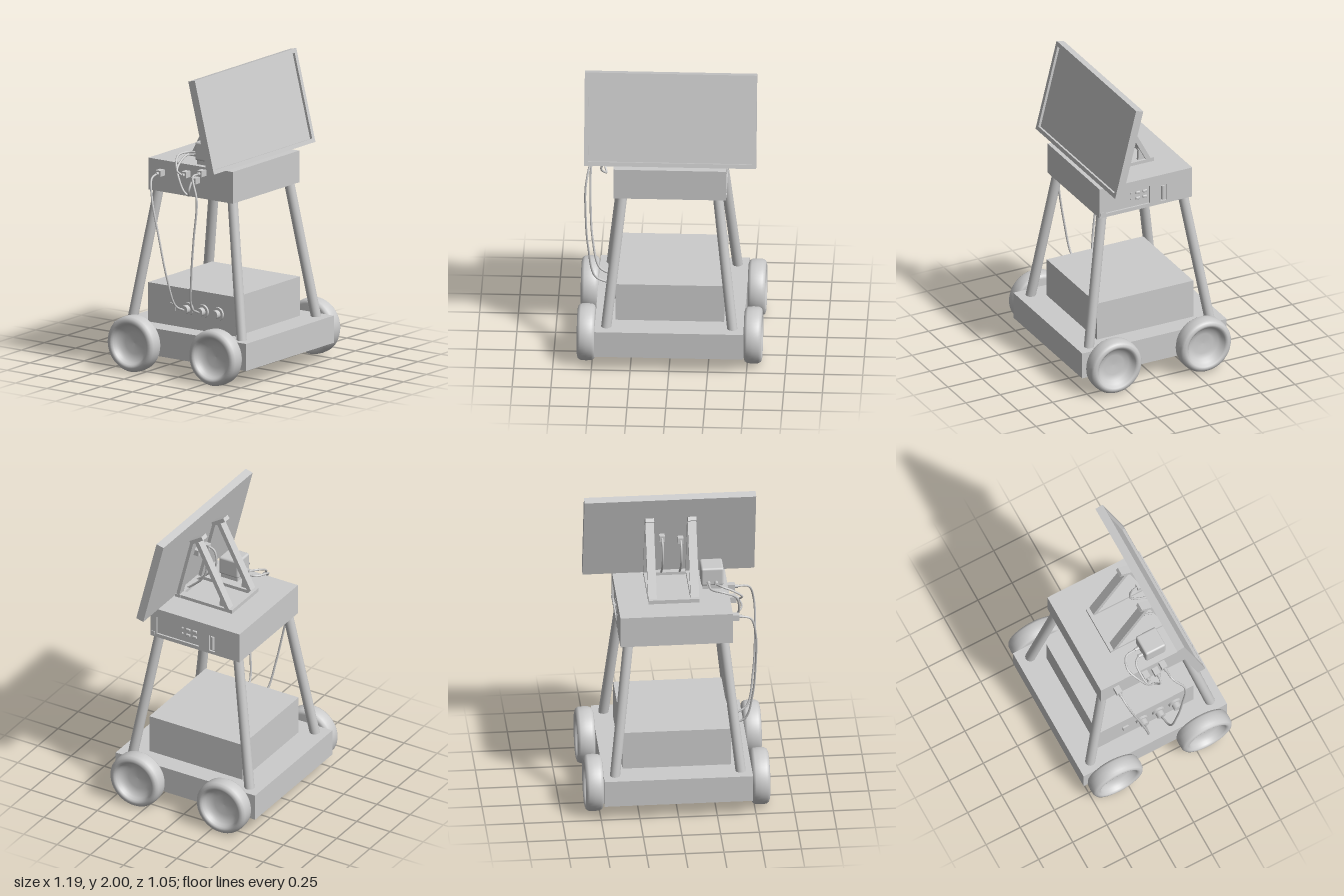
import * as THREE from 'three';
import { RoundedBoxGeometry } from 'three/addons/geometries/RoundedBoxGeometry.js';

const mat = new THREE.MeshStandardMaterial({ color: 0xcccccc });
const V = (x, y, z) => new THREE.Vector3(x, y, z);

function add(parent, name, geo, x = 0, y = 0, z = 0) {
  const m = new THREE.Mesh(geo, mat);
  m.name = name;
  m.position.set(x, y, z);
  parent.add(m);
  return m;
}

// box from its minimum and maximum corners
function box(parent, name, a, b) {
  const s = b.map((v, i) => v - a[i]), c = b.map((v, i) => (v + a[i]) / 2);
  return add(parent, name, new THREE.BoxGeometry(...s), ...c);
}

// round bar between two points
function rod(parent, name, a, b, r, sides = 24) {
  const d = b.clone().sub(a);
  const m = add(parent, name, new THREE.CylinderGeometry(r, r, d.length(), sides),
    ...a.clone().add(b).multiplyScalar(0.5).toArray());
  m.quaternion.setFromUnitVectors(V(0, 1, 0), d.normalize());
  return m;
}

// flat bar leaning in the y-z plane, ends given as [z, y]
function beam(parent, name, x, a, b, width, thick) {
  const dz = b[0] - a[0], dy = b[1] - a[1];
  const m = add(parent, name, new THREE.BoxGeometry(width, Math.hypot(dz, dy), thick),
    x, (a[1] + b[1]) / 2, (a[0] + b[0]) / 2);
  m.rotation.x = Math.atan2(dz, dy);
  return m;
}

function cable(parent, name, pts, r = 0.007) {
  const curve = new THREE.CatmullRomCurve3(pts.map(p => V(...p)));
  return add(parent, name, new THREE.TubeGeometry(curve, 48, r, 8));
}

function rectPath(path, x0, y0, x1, y1) {
  path.moveTo(x0, y0);
  path.lineTo(x1, y0);
  path.lineTo(x1, y1);
  path.lineTo(x0, y1);
  path.closePath();
  return path;
}

// flat plate with rectangular openings, extruded along +z
function plate(outer, holes, depth) {
  const s = rectPath(new THREE.Shape(), ...outer);
  holes.forEach(h => s.holes.push(rectPath(new THREE.Path(), ...h)));
  return new THREE.ExtrudeGeometry(s, { depth, bevelEnabled: false });
}

function buildBase(g) {
  box(g, 'chassis', [-0.48, 0.11, -0.525], [0.48, 0.29, 0.525]);
  box(g, 'batteryBox', [-0.35, 0.29, -0.35], [0.35, 0.55, 0.35]);

  // wheels with a rounded tread and a dished outer face
  const profile = [[0, 0], [0.155, 0], [0.172, 0.006], [0.182, 0.022], [0.185, 0.058], [0.182, 0.094],
    [0.172, 0.11], [0.155, 0.116], [0.143, 0.113], [0.134, 0.104], [0.125, 0.085], [0.105, 0.066],
    [0.07, 0.055], [0, 0.052]].map(p => new THREE.Vector2(...p));
  const wheel = new THREE.LatheGeometry(profile, 48);
  for (const sx of [-1, 1]) for (const sz of [-1, 1]) {
    add(g, 'wheel', wheel, sx * 0.48, 0.185, sz * 0.325).rotation.z = -sx * Math.PI / 2;
    rod(g, 'leg', V(sx * 0.408, 0.27, sz * 0.44), V(sx * 0.308, 1.18, sz * 0.293), 0.033);
  }

  // sockets on the side of the battery box
  for (const z of [-0.03, 0.09, 0.21]) {
    rod(g, 'socketFlange', V(-0.35, 0.42, z), V(-0.365, 0.42, z), 0.045);
    rod(g, 'socketPlug', V(-0.36, 0.42, z), V(-0.40, 0.42, z), 0.028);
  }
  box(g, 'batterySwitch', [-0.36, 0.39, -0.17], [-0.35, 0.44, -0.13]);
}

function buildComputer(g) {
  box(g, 'computerCase', [-0.365, 1.182, -0.336], [0.35, 1.38, 0.336]);

  // bottom cover with a shallow opening
  add(g, 'bottomCover', plate([-0.365, -0.336, 0.362, 0.336], [[-0.13, -0.12, 0.13, 0.12]], 0.012),
    0, 1.182, 0).rotation.x = Math.PI / 2;

  // side cover: control panel recess and handle slot (plate x runs toward -z)
  add(g, 'sideCover', plate([-0.336, 1.182, 0.336, 1.38],
    [[-0.29, 1.195, 0.03, 1.32], [0.105, 1.19, 0.15, 1.305]], 0.012), 0.35, 0, 0).rotation.y = Math.PI / 2;
  rod(g, 'slotLatch', V(0.352, 1.20, -0.128), V(0.352, 1.295, -0.128), 0.012, 12);
  for (const y of [1.25, 1.29]) {
    rod(g, 'indicator', V(0.345, y, 0.1), V(0.36, y, 0.1), 0.008, 12);
    for (const z of [0.055, 0.005])
      add(g, 'button', new RoundedBoxGeometry(0.014, 0.018, 0.032, 2, 0.005), 0.355, y, z);
  }
  box(g, 'cornerTab', [0.36, 1.185, 0.3], [0.366, 1.208, 0.33]);

  // connectors on the other side
  for (const [y, z] of [[1.30, -0.225], [1.32, -0.02], [1.29, 0.055], [1.345, 0.105]]) {
    box(g, 'connector', [-0.415, y - 0.02, z - 0.02], [-0.365, y + 0.02, z + 0.02]);
    rod(g, 'connectorSleeve', V(-0.41, y, z), V(-0.435, y, z), 0.011, 12);
  }

  // power adapter with two plugs
  box(g, 'adapterFoot', [-0.325, 1.38, 0.02], [-0.2, 1.41, 0.145]);
  add(g, 'adapter', new RoundedBoxGeometry(0.146, 0.125, 0.146, 3, 0.014), -0.263, 1.468, 0.083);
  for (const x of [-0.287, -0.237]) {
    rod(g, 'adapterPlug', V(x, 1.43, 0.015), V(x, 1.43, -0.02), 0.012, 12);
  }
}

function buildCables(g) {
  cable(g, 'frontPowerCable', [[-0.43, 1.345, 0.105], [-0.50, 1.34, 0.115], [-0.545, 1.2, 0.18],
    [-0.55, 0.95, 0.16], [-0.535, 0.7, 0.13], [-0.49, 0.47, 0.1], [-0.40, 0.42, 0.09]]);
  cable(g, 'rearPowerCable', [[-0.43, 1.30, -0.225], [-0.49, 1.28, -0.22], [-0.525, 1.15, -0.19],
    [-0.53, 0.9, -0.13], [-0.515, 0.65, -0.08], [-0.47, 0.46, -0.045], [-0.40, 0.42, -0.03]]);
  cable(g, 'adapterCable', [[-0.287, 1.43, -0.02], [-0.32, 1.43, -0.055], [-0.39, 1.4, -0.06],
    [-0.45, 1.35, -0.045], [-0.43, 1.32, -0.02]]);
  cable(g, 'adapterCable', [[-0.237, 1.43, -0.02], [-0.25, 1.43, -0.09], [-0.33, 1.42, -0.122],
    [-0.41, 1.36, -0.08], [-0.43, 1.22, -0.01], [-0.42, 1.19, 0.02], [-0.455, 1.23, 0.05], [-0.43, 1.29, 0.055]]);

  // leads plugged into the back of the screen
  for (const [x, y] of [[-0.07, 1.67], [0.05, 1.69]]) {
    box(g, 'screenPlug', [x - 0.018, y - 0.025, 0.15], [x + 0.018, y + 0.015, 0.19]);
    cable(g, 'screenLead', [[x, y, 0.155], [x, y - 0.02, 0.115], [x, y - 0.11, 0.1], [x, 1.5, 0.13],
      [x, 1.43, 0.2], [x, 1.39, 0.25]]);
  }
}

function buildScreen(g) {
  const screen = new THREE.Group();
  screen.name = 'screen';
  screen.position.set(0, 1.692, 0.222);
  screen.rotation.x = -0.249;
  g.add(screen);
  const W = 0.555, H = 0.31, rim = 0.027;
  box(screen, 'screenPanel', [-W, -H, -0.027], [W, H, 0.01]);
  add(screen, 'screenBezel', plate([-W, -H, W, H], [[-W + rim, -H + rim, W - rim, H - rim]], 0.017), 0, 0, 0.01);
}

function buildStand(g) {
  box(g, 'standRearBar', [-0.165, 1.38, -0.16], [0.165, 1.406, -0.135]);
  box(g, 'standFrontBar', [-0.165, 1.38, 0.23], [0.165, 1.4, 0.27]);
  const web = new THREE.Shape([[0.055, 1.4], [0.12, 1.4], [0.085, 1.47], [0.06, 1.475]]
    .map(p => new THREE.Vector2(...p)));
  for (const s of [-1, 1]) {
    const x = s * 0.137;
    box(g, 'standFootRail', [x - 0.027, 1.38, -0.14], [x + 0.027, 1.402, 0.26]);
    beam(g, 'standRearStrut', x, [-0.125, 1.395], [0.115, 1.85], 0.055, 0.03);
    beam(g, 'standFrontStrut', x, [0.25, 1.395], [0.14, 1.83], 0.055, 0.022);
    beam(g, 'standHook', x, [0.155, 1.815], [0.065, 1.873], 0.055, 0.026);
    add(g, 'standGusset', new THREE.ExtrudeGeometry(web, { depth: 0.02, bevelEnabled: false }),
      x - 0.01, 0, 0).rotation.y = Math.PI / 2;
  }
}

export function createModel() {
  const g = new THREE.Group();
  g.name = 'wheeledScreenCart';
  [buildBase, buildComputer, buildCables, buildScreen, buildStand].forEach(build => build(g));
  return g;
}
